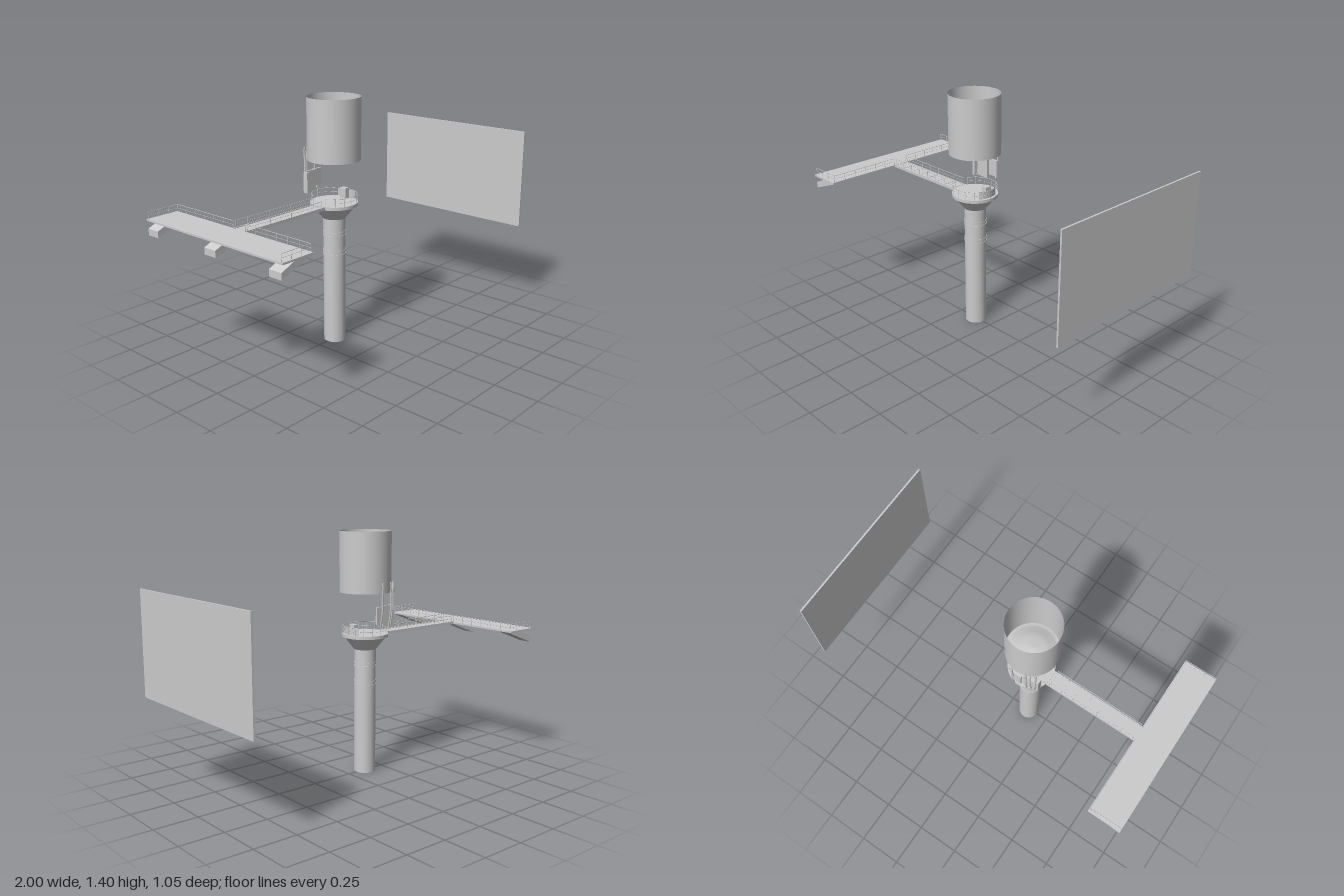
import * as THREE from 'three';

const CX = -0.12; // tower axis

export function createModel() {
  const root = new THREE.Group();
  const mat = new THREE.MeshStandardMaterial({ color: 0xcccccc });
  const both = new THREE.MeshStandardMaterial({ color: 0xcccccc, side: THREE.DoubleSide });

  const add = (name, geo, x = 0, y = 0, z = 0, m = mat, parent = root) => {
    const mesh = new THREE.Mesh(geo, m);
    mesh.name = name;
    mesh.position.set(x, y, z);
    parent.add(mesh);
    return mesh;
  };
  const box = (name, x0, x1, y0, y1, z0, z1, parent = root) =>
    add(name, new THREE.BoxGeometry(x1 - x0, y1 - y0, z1 - z0),
      (x0 + x1) / 2, (y0 + y1) / 2, (z0 + z1) / 2, mat, parent);
  const bar = (name, a, b, r, parent) => {
    const dir = b.clone().sub(a);
    const mesh = add(name, new THREE.CylinderGeometry(r, r, dir.length(), 6), 0, 0, 0, mat, parent);
    mesh.position.copy(a).add(b).multiplyScalar(0.5);
    mesh.quaternion.setFromUnitVectors(new THREE.Vector3(0, 1, 0), dir.normalize());
    return mesh;
  };
  const V = (x, y, z) => new THREE.Vector3(x, y, z);

  // Handrail along floor points: posts at every point, two rails between them
  const railing = (name, pts, h = 0.04) => {
    const g = new THREE.Group();
    g.name = name;
    root.add(g);
    pts.forEach((p, i) => {
      bar('post', p, p.clone().setY(p.y + h), 0.0016, g);
      if (i === 0) return;
      for (const k of [1, 0.5]) {
        bar('rail', pts[i - 1].clone().setY(p.y + h * k), p.clone().setY(p.y + h * k), k === 1 ? 0.0016 : 0.001, g);
      }
    });
  };
  const line = (a, b, n) => Array.from({ length: n + 1 }, (_, i) => a.clone().lerp(b, i / n));

  // Tower column with bands
  add('column', new THREE.CylinderGeometry(0.062, 0.062, 0.74, 40), CX, 0.37, 0);
  for (const y of [0.523, 0.545, 0.632, 0.652]) {
    add('columnBand', new THREE.CylinderGeometry(0.0645, 0.0645, 0.006, 40), CX, y, 0);
  }

  // Flared head and round platform
  add('flaredHead', new THREE.CylinderGeometry(0.122, 0.064, 0.072, 40), CX, 0.766, 0);
  add('platform', new THREE.CylinderGeometry(0.132, 0.132, 0.018, 48), CX, 0.811, 0);
  const ring = [];
  for (let i = 0; i <= 14; i++) {
    const a = Math.PI + 0.38 + (i / 14) * (2 * Math.PI - 0.76);
    ring.push(V(CX + 0.127 * Math.cos(a), 0.82, 0.127 * Math.sin(a)));
  }
  railing('platformRailing', ring, 0.045);

  // Curved shield and console on the screen side
  add('curvedShield', new THREE.CylinderGeometry(0.118, 0.118, 0.045, 16, 1, true, Math.PI / 2 - 0.55, 1.1),
    CX, 0.843, 0, both);
  box('console', -0.045, -0.015, 0.82, 0.88, -0.025, 0.015);

  // Large open drum
  add('drum', new THREE.CylinderGeometry(0.147, 0.147, 0.342, 56, 1, true), CX, 1.229, 0, both);
  const floorProfile = [[0.147, 1.068], [0.125, 1.068], [0.125, 1.076], [0.104, 1.076], [0.104, 1.083], [0.06, 1.095], [0, 1.1]];
  add('drumFloor', new THREE.LatheGeometry(floorProfile.map(([r, y]) => new THREE.Vector2(r, y)), 48), CX, 0, 0, both);
  for (const [r, y] of [[0.1, 1.072], [0.075, 1.08], [0.045, 1.086]]) {
    const hoop = add('floorHoop', new THREE.TorusGeometry(r, 0.004, 6, 40), CX, y, 0);
    hoop.rotation.x = Math.PI / 2;
  }
  for (let i = 0; i < 8; i++) {
    const a = (i / 8) * Math.PI * 2;
    bar('floorSpoke', V(CX + 0.03 * Math.cos(a), 1.085, 0.03 * Math.sin(a)),
      V(CX + 0.104 * Math.cos(a), 1.072, 0.104 * Math.sin(a)), 0.002, root);
  }

  // Cabinets and bent pipes at the back, holding the drum
  box('cabinetLarge', -0.222, -0.145, 0.87, 0.988, -0.125, -0.115);
  box('cabinetSmall', -0.143, -0.082, 0.888, 0.985, -0.142, -0.132);
  box('cabinetSide', -0.238, -0.222, 0.872, 0.985, -0.118, -0.09);
  for (const [x, z] of [[-0.222, -0.122], [-0.2, -0.138], [-0.178, -0.148], [-0.104, -0.162]]) {
    const path = new THREE.CatmullRomCurve3([
      V(x, 0.87, z * 0.9), V(x, 0.95, z), V(x, 1.04, z), V(x, 1.09, z * 1.03), V(x, 1.12, z * 1.01)]);
    add('supportPipe', new THREE.TubeGeometry(path, 16, 0.0045, 8), 0, 0, 0, both);
  }

  // Walkway with side beams, cross beams and railings
  box('walkwayFloor', -0.81, -0.24, 0.81, 0.816, -0.043, 0.043);
  for (const s of [-1, 1]) {
    box('walkwayBeam', -0.81, -0.24, 0.803, 0.82, s * 0.042 - 0.003, s * 0.042 + 0.003);
    railing('walkwayRailing', line(V(-0.795, 0.816, s * 0.042), V(-0.265, 0.816, s * 0.042), 7));
  }
  for (let i = 0; i <= 7; i++) {
    const x = -0.795 + i * 0.0757;
    box('walkwayCrossBeam', x - 0.002, x + 0.002, 0.804, 0.818, -0.042, 0.042);
  }

  // Long deck with railings on three sides, open along its outer edge
  box('deck', -1, -0.805, 0.807, 0.817, -0.5, 0.5);
  for (const s of [-1, 1]) {
    railing('deckRailing', [
      ...line(V(-0.81, 0.817, s * 0.045), V(-0.81, 0.817, s * 0.487), 6),
      ...line(V(-0.81, 0.817, s * 0.487), V(-0.995, 0.817, s * 0.487), 3).slice(1)]);
  }

  // Sloping brackets beneath the deck
  const profile = new THREE.Shape([[-0.808, 0.808], [-0.905, 0.808], [-1, 0.768], [-1, 0.732], [-0.825, 0.798]]
    .map(([x, y]) => new THREE.Vector2(x, y)));
  for (const z of [-0.45, 0, 0.45]) {
    add('deckBracket', new THREE.ExtrudeGeometry(profile, { depth: 0.08, bevelEnabled: false }), 0, 0, z - 0.04);
  }

  // Freestanding flat screen
  box('screen', 0.99, 1, 0.522, 1.112, -0.524, 0.524);

  return root;
}
